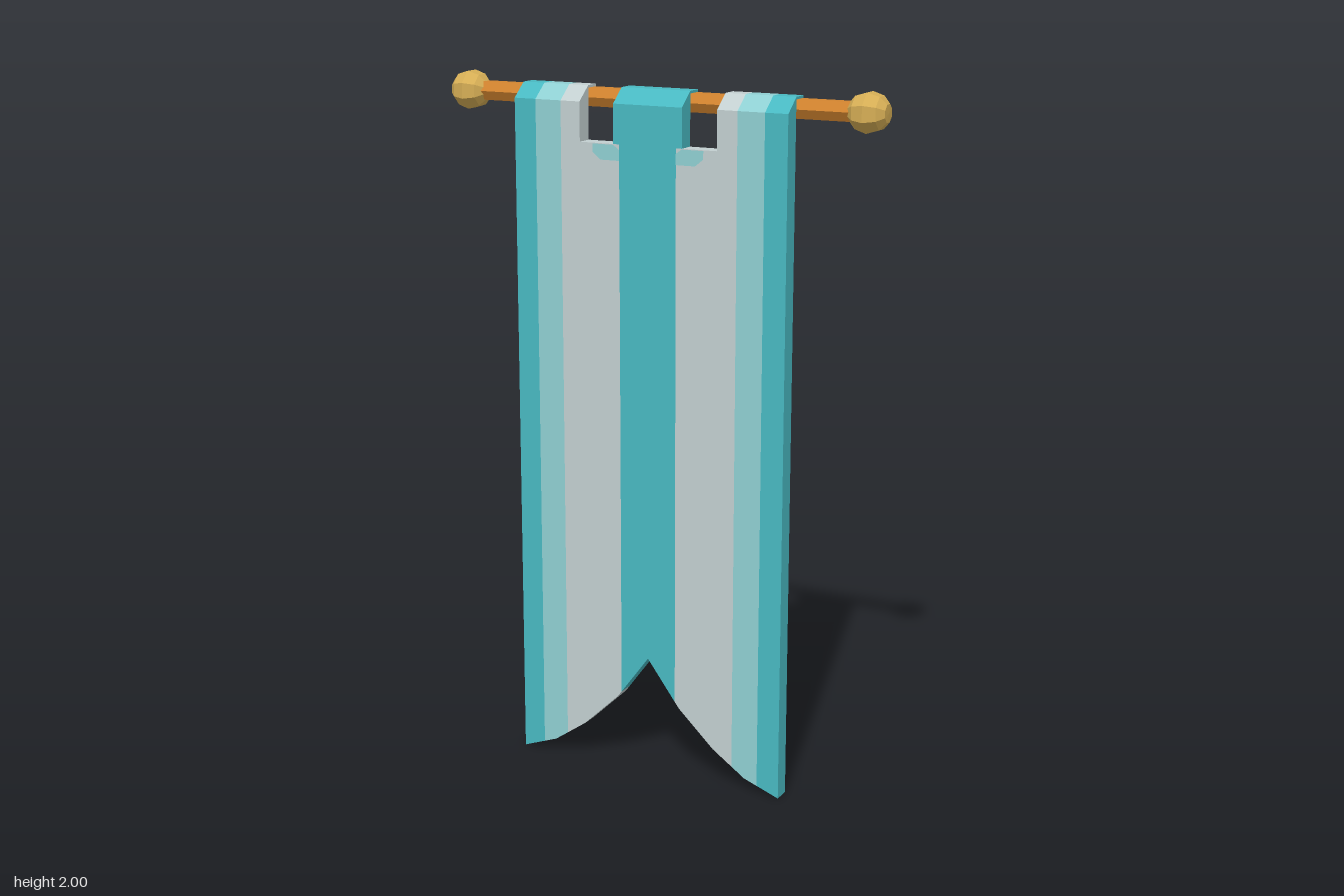
import * as THREE from 'three';

const mat = (name, color) => {
  const m = new THREE.MeshStandardMaterial({ color });
  m.name = name;
  return m;
};

export function createModel() {
  const group = new THREE.Group();
  group.name = 'hangingBanner';
  const teal = mat('teal', 0x48b8c1);
  const pale = mat('paleTeal', 0x8fcfd2);
  const grey = mat('lightGrey', 0xc2cfd0);
  const wood = mat('wood', 0xd2842f);
  const gold = mat('gold', 0xd6ae55);

  const add = (name, geometry, material) => {
    const mesh = new THREE.Mesh(geometry, material);
    mesh.name = name;
    group.add(mesh);
    return mesh;
  };
  const flat = (g) => {
    const f = g.index ? g.toNonIndexed() : g;
    f.computeVertexNormals();
    return f;
  };

  // Six-sided rod lying along x, flat side up
  const rodY = 1.946, rodZ = -0.015;
  const rodGeo = new THREE.CylinderGeometry(0.03, 0.03, 1.16, 6).rotateZ(Math.PI / 2);
  add('rod', flat(rodGeo), wood).position.set(0, rodY, rodZ);

  // Faceted finials
  const profile = [[0, -0.054], [0.026, -0.053], [0.047, -0.034], [0.058, 0],
    [0.047, 0.034], [0.026, 0.053], [0, 0.054]].map(([r, y]) => new THREE.Vector2(r, y));
  for (const side of [-1, 1]) {
    const g = new THREE.LatheGeometry(profile, 8).rotateY(Math.PI / 8).rotateZ(Math.PI / 2);
    add(side > 0 ? 'leftFinial' : 'rightFinial', flat(g), gold).position.set(side * 0.61, rodY, rodZ);
  }

  // Cloth: quads gathered per part and colour
  const bins = new Map();
  const quad = (part, material, a, b, c, d) => {
    const key = part + '_' + material.name;
    if (!bins.has(key)) bins.set(key, { material, pos: [] });
    bins.get(key).pos.push(...a, ...b, ...c, ...a, ...c, ...d);
  };

  const HALF = 0.417, FRONT = 0.07, BACK = 0.02, FLAP = -0.025;
  const NOTCH = 1.83, SHOULDER = 1.94, TOP = 1.98, UNDER = 1.973;

  // Swallow-tail lower edge
  const tail = [[0, 0.35], [0.1, 0.215], [0.21, 0.11], [0.31, 0.04], [HALF, 0]];
  const hem = (x) => {
    const ax = Math.abs(x);
    const i = Math.max(1, tail.findIndex((p) => ax <= p[0] + 1e-6));
    const [x0, y0] = tail[i - 1], [x1, y1] = tail[i];
    return y0 + (y1 - y0) * (ax - x0) / (x1 - x0);
  };

  // Stripe layout
  const frontColor = (x, inTab) => {
    const ax = Math.abs(x);
    if (ax < (inTab ? 0.105 : 0.087) || ax > 0.35) return teal;
    return ax > 0.27 ? pale : grey;
  };
  const backStripes = [[-0.33, teal], [-0.13, grey], [-0.09, pale], [0.12, teal], [0.29, grey], [1, teal]];
  const backColor = (x) => backStripes.find(([end]) => x < end)[1];
  const isNotch = (x) => Math.abs(x) > 0.105 && Math.abs(x) < 0.21;

  const cuts = new Set([0]);
  for (const v of [0.087, 0.1, 0.105, 0.21, 0.27, 0.31, 0.35, HALF]) cuts.add(v).add(-v);
  for (const [v] of backStripes) if (v < HALF) cuts.add(v);
  const xs = [...cuts].sort((a, b) => a - b);

  for (let i = 0; i < xs.length - 1; i++) {
    const x0 = xs[i], x1 = xs[i + 1], mid = (x0 + x1) / 2;
    const low = frontColor(mid, false), high = frontColor(mid, true), rear = backColor(mid);
    // Sweep one step of the side profile across the column
    const strip = (part, material, [y0, z0], [y1, z1]) => {
      const at = (y, x) => (typeof y === 'function' ? y(x) : y);
      quad(part, material, [x0, at(y0, x0), z0], [x1, at(y0, x1), z0],
        [x1, at(y1, x1), z1], [x0, at(y1, x0), z1]);
    };
    strip('clothFront', low, [hem, FRONT], [NOTCH, FRONT]);
    strip('clothBack', rear, [NOTCH, BACK], [hem, BACK]);
    strip('clothHem', low, [hem, BACK], [hem, FRONT]);
    if (isNotch(mid)) {
      strip('notchFloor', grey, [NOTCH, FRONT], [NOTCH, BACK]);
      continue;
    }
    // Hanging tab folded over the rod
    const path = [[NOTCH, FRONT], [SHOULDER, FRONT], [TOP, BACK], [TOP, FLAP], [UNDER, FLAP], [UNDER, BACK]];
    for (let k = 0; k < path.length - 1; k++) strip('tab', high, path[k], path[k + 1]);
    strip('tabBack', rear, [UNDER, BACK], [NOTCH, BACK]);
  }

  // Side walls of the cloth and tabs
  const wall = (x, dir, material, bottom) => {
    const faces = [
      [[bottom, FRONT], [bottom, BACK], [SHOULDER, BACK], [SHOULDER, FRONT]],
      [[SHOULDER, FRONT], [SHOULDER, BACK], [UNDER, BACK], [TOP, BACK]],
      [[UNDER, BACK], [UNDER, FLAP], [TOP, FLAP], [TOP, BACK]],
    ];
    for (const face of faces) {
      const c = face.map(([y, z]) => [x, y, z]);
      quad('clothSide', material, ...(dir > 0 ? c : c.reverse()));
    }
  };
  for (const s of [-1, 1]) {
    wall(s * HALF, s, teal, 0);
    wall(s * 0.21, -s, grey, NOTCH);
    wall(s * 0.105, s, teal, NOTCH);
  }

  for (const [name, { material, pos }] of bins) {
    const g = new THREE.BufferGeometry();
    g.setAttribute('position', new THREE.Float32BufferAttribute(pos, 3));
    g.computeVertexNormals();
    add(name, g, material);
  }

  // Pale patches below the notches
  for (const s of [-1, 1]) {
    const pts = [[0.087, 1.785], [0.145, 1.785], [0.17, 1.805], [0.17, 1.828], [0.105, 1.828], [0.087, 1.815]];
    const shape = new THREE.Shape(pts.map(([x, y]) => new THREE.Vector2(s * x, y)));
    add(s > 0 ? 'leftPatch' : 'rightPatch', new THREE.ShapeGeometry(shape), pale).position.z = FRONT + 0.001;
  }
  return group;
}
